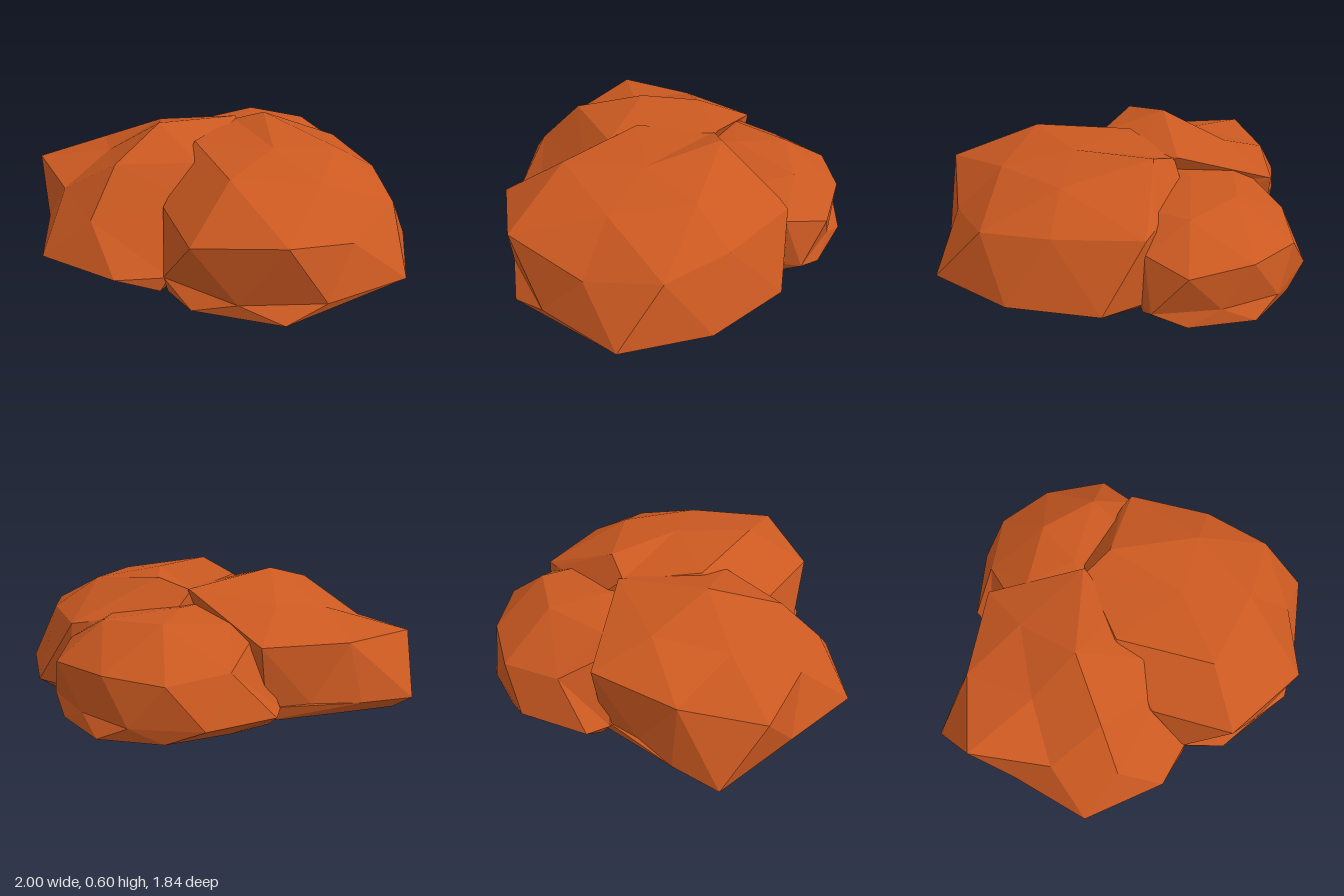
import * as THREE from 'three';
import { ConvexGeometry } from 'three/addons/geometries/ConvexGeometry.js';

const RING = 0.07; // height of the crease above the foot

// Joins two closed loops (clockwise from above) with triangles, taking the shorter diagonal each time
function stitch(lower, upper) {
  const out = [];
  const upperSteps = upper.length > 1 ? upper.length : 0;
  let i = 0, j = 0;
  while (i < lower.length || j < upperSteps) {
    const a = lower[i % lower.length], b = upper[j % upper.length];
    const nextA = lower[(i + 1) % lower.length], nextB = upper[(j + 1) % upper.length];
    const stepLower = j >= upperSteps
      || (i < lower.length && nextA.distanceTo(b) < a.distanceTo(nextB));
    out.push(a, b, stepLower ? nextA : nextB);
    if (stepLower) i++; else j++;
  }
  return out;
}

// One faceted boulder: loops of corners from ring to peak, standing on a bevelled foot
function boulder(name, { peak, crown, shoulder, ring, foot }, material) {
  const vectors = (corners) => corners.map((c) => new THREE.Vector3(...c));
  const crease = vectors(ring.map(([x, z]) => [x, RING, z]));
  const ground = vectors(foot.map(([x, z]) => [x, 0, z]));
  const loops = [crease, vectors(shoulder), vectors(crown), vectors([peak])];
  const triangles = loops.slice(1).flatMap((loop, k) => stitch(loops[k], loop));
  const bodyGeometry = new THREE.BufferGeometry().setFromPoints(triangles);
  bodyGeometry.computeVertexNormals();

  const body = new THREE.Mesh(bodyGeometry, material);
  body.name = name + 'Body';
  const base = new THREE.Mesh(new ConvexGeometry([...crease, ...ground]), material);
  base.name = name + 'Foot';
  const group = new THREE.Group();
  group.name = name;
  group.add(body, base);
  return group;
}

export function createModel() {
  const group = new THREE.Group();
  group.name = 'rockCluster';
  const rock = new THREE.MeshStandardMaterial({ color: 0xcb5921 });
  rock.name = 'rust orange rock';

  // Tallest boulder, at the front right-hand side
  group.add(boulder('frontBoulder', {
    peak: [-0.25, 0.6, 0.2],
    crown: [[0.09, 0.5, 0.21], [-0.14, 0.5, 0.54], [-0.48, 0.415, 0.37], [-0.53, 0.485, 0],
      [-0.2, 0.54, -0.27], [-0.05, 0.52, -0.05]],
    shoulder: [[0.16, 0.35, 0.33], [-0.07, 0.285, 0.735], [-0.4, 0.315, 0.69], [-0.81, 0.33, 0.61],
      [-0.82, 0.335, 0.2], [-0.71, 0.36, -0.24], [0, 0.4, -0.2]],
    ring: [[0.3, 0.54], [0.16, 0.76], [-0.25, 0.92], [-0.6, 0.695], [-1, 0.44],
      [-0.91, 0.2], [-0.78, 0], [-0.7, -0.2], [0, -0.2]],
    foot: [[0.28, 0.58], [0.14, 0.66], [-0.25, 0.72], [-0.74, 0.53], [-0.9, 0.42],
      [-0.82, 0.18], [-0.72, -0.1], [-0.68, -0.2], [0, -0.2]],
  }, rock));

  // Widest boulder, on the left-hand side
  group.add(boulder('leftBoulder', {
    peak: [0.29, 0.56, -0.11],
    crown: [[0.64, 0.5, -0.1], [0.42, 0.55, 0.27], [-0.05, 0.545, 0.12], [-0.19, 0.53, -0.25],
      [-0.06, 0.585, -0.35], [0.4, 0.52, -0.43]],
    shoulder: [[0.86, 0.4, 0.3], [0.51, 0.34, 0.57], [0.12, 0.34, 0.44], [-0.2, 0.35, 0.1],
      [-0.2, 0.45, -0.34], [0.02, 0.4, -0.7], [0.07, 0.39, -0.76], [0.48, 0.38, -0.64],
      [0.78, 0.35, -0.46], [0.87, 0.29, -0.1]],
    ring: [[0.92, 0.1], [0.68, 0.43], [0.28, 0.56], [-0.2, 0.2], [-0.2, -0.45],
      [0.09, -0.78], [0.29, -0.84], [0.7, -0.67], [1, -0.34]],
    foot: [[0.86, 0.3], [0.5, 0.56], [0.3, 0.55], [-0.2, 0.2], [-0.2, -0.45],
      [0.08, -0.7], [0.27, -0.74], [0.62, -0.6], [0.87, -0.33]],
  }, rock));

  // Lowest boulder, at the back
  group.add(boulder('backBoulder', {
    peak: [-0.25, 0.47, -0.35],
    crown: [[-0.2, 0.46, -0.2], [-0.5, 0.43, -0.25], [-0.41, 0.455, -0.56],
      [-0.14, 0.445, -0.71], [0.02, 0.43, -0.55]],
    shoulder: [[-0.1, 0.4, -0.15], [-0.6, 0.38, -0.2], [-0.71, 0.28, -0.41], [-0.65, 0.26, -0.71],
      [-0.4, 0.275, -0.87], [-0.08, 0.27, -0.92], [0.08, 0.32, -0.76]],
    ring: [[-0.1, -0.1], [-0.74, -0.15], [-0.82, -0.24], [-0.77, -0.59], [-0.54, -0.83],
      [-0.25, -0.89], [0.07, -0.86], [0.1, -0.76]],
    foot: [[-0.1, -0.1], [-0.72, -0.2], [-0.71, -0.41], [-0.64, -0.71], [-0.41, -0.91],
      [-0.09, -0.9], [0.08, -0.74]],
  }, rock));

  return group;
}
